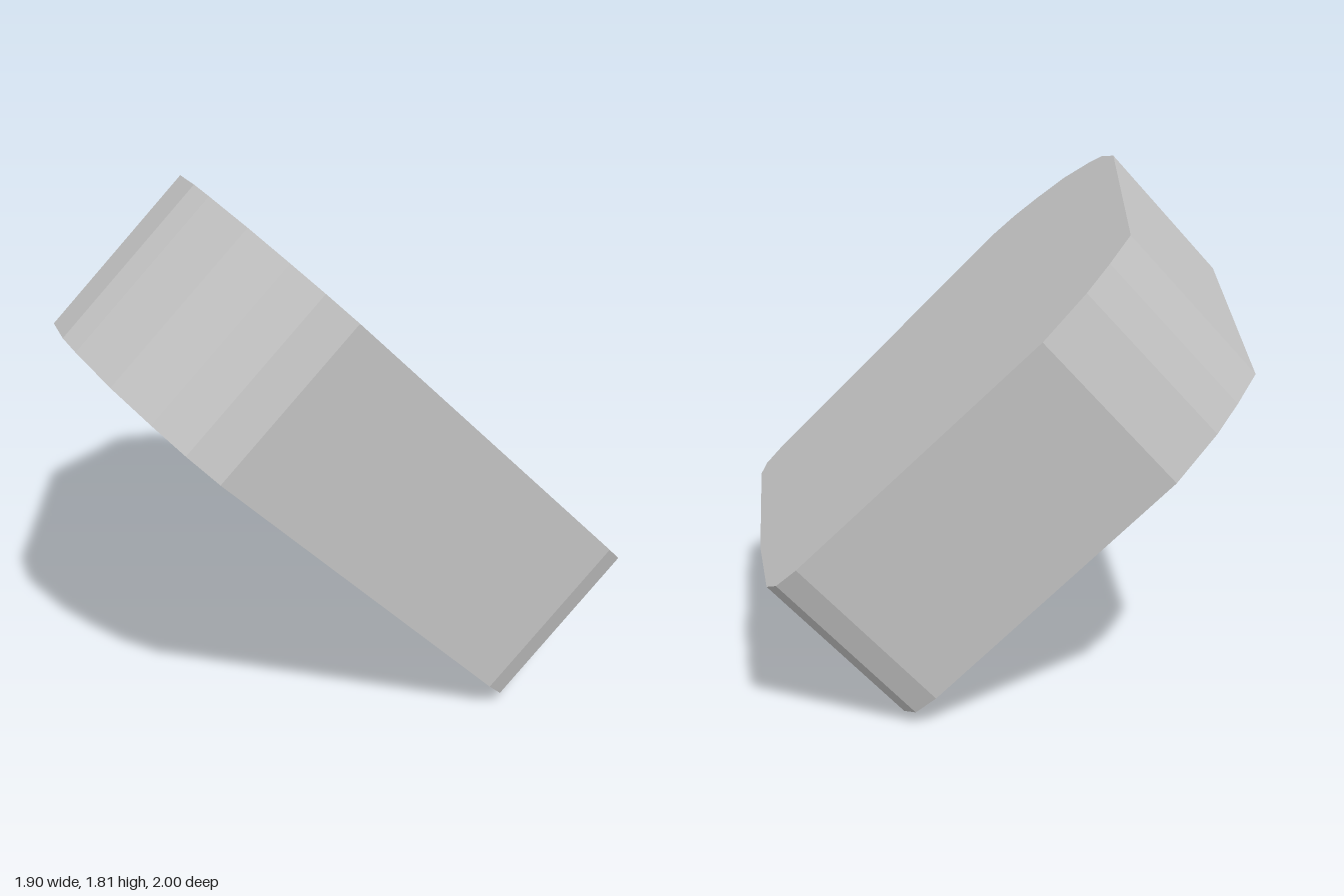
import * as THREE from 'three';

// Rounded outline of the slab, as seen from above (x, z)
const OUTLINE = [
  [-0.21, -0.81], [-0.12, -0.88], [-0.03, -0.935], [0.12, -0.98],
  [0.86, -0.82], [0.92, -0.78], [0.945, -0.7], [0.94, -0.22],
  [0.88, 0.83], [0.85, 0.92], [0.79, 0.95], [-0.18, 0.995],
  [-0.27, 0.95], [-0.35, 0.87], [-0.44, 0.75], [-0.505, 0.58],
  [-0.525, 0.49], [-0.52, 0.32],
];

// Tilted plane of the upper face: y = HEIGHT + SLOPE_X * x + SLOPE_Z * z
const HEIGHT = 1.34, SLOPE_X = -0.945, SLOPE_Z = -0.043;
// Thickness vector, perpendicular to that plane
const DEPTH = new THREE.Vector3(0.43, 0.455, 0.02);

export function createModel() {
  const stone = new THREE.MeshStandardMaterial({ color: 0xc4c4c4, flatShading: true });
  stone.name = 'light grey';

  const shape = new THREE.Shape(OUTLINE.map(([x, z]) => new THREE.Vector2(x, -z)));
  const geometry = new THREE.ExtrudeGeometry(shape, { depth: 1, bevelEnabled: false });

  // Lay the flat prism on the tilted plane, its upper cap on the plane itself
  geometry.translate(0, 0, -1);
  geometry.applyMatrix4(new THREE.Matrix4().set(
    1, 0, DEPTH.x, 0,
    SLOPE_X, -SLOPE_Z, DEPTH.y, HEIGHT,
    0, -1, DEPTH.z, 0,
    0, 0, 0, 1,
  ));

  const slab = new THREE.Mesh(geometry, stone);
  slab.name = 'tiltedSlab';

  const group = new THREE.Group();
  group.name = 'slab';
  group.add(slab);
  return group;
}
